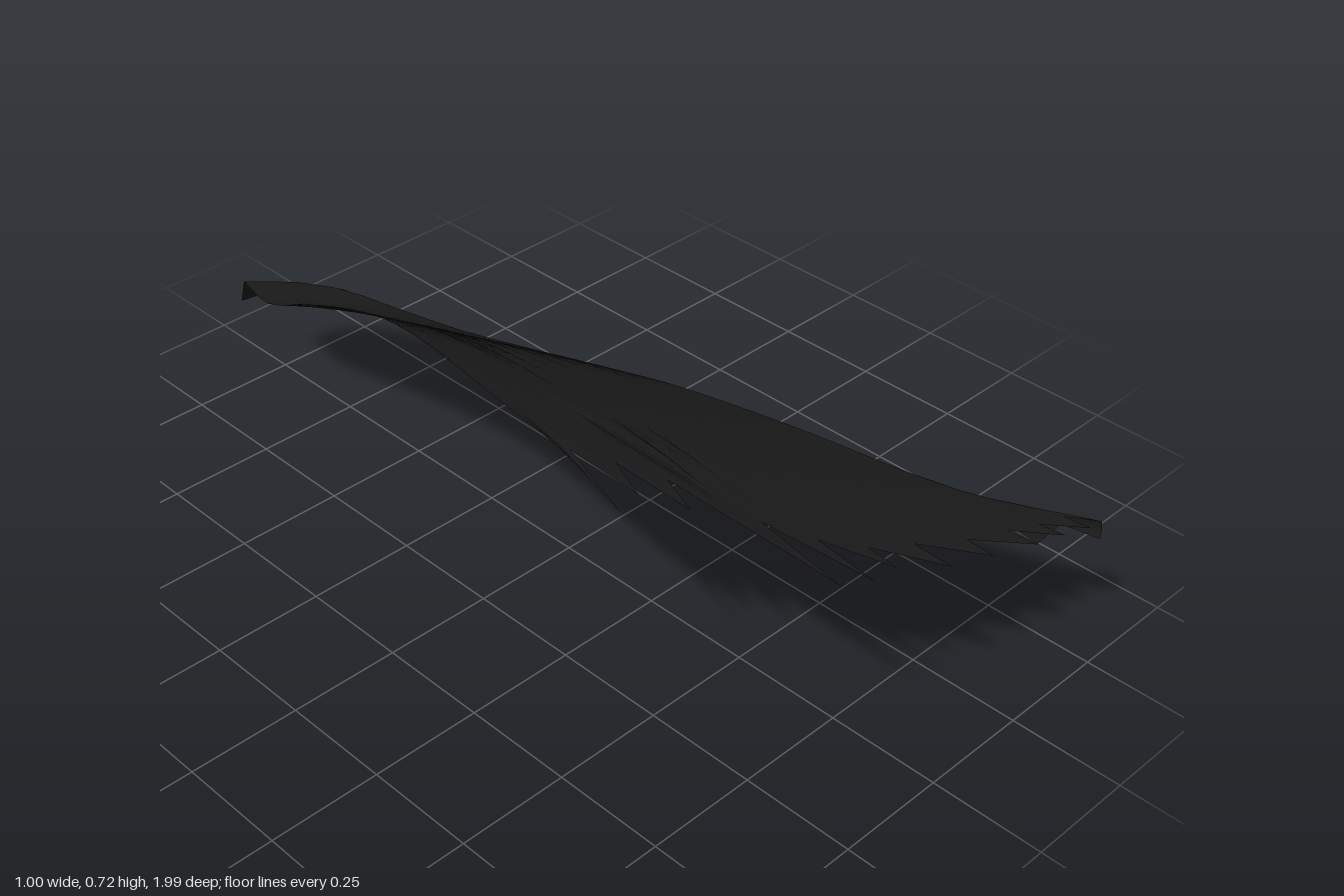
import * as THREE from 'three';

const cloth = new THREE.MeshStandardMaterial({ color: 0x1e1e1e, side: THREE.DoubleSide });
cloth.name = 'black cloth';

// Sample a smooth curve through points sorted by z; beyond the ends it continues straight.
function along(points, z) {
  const n = points.length;
  let i = 0;
  while (i < n - 2 && z > points[i + 1][0]) i++;
  const slope = (k, c) => {
    const a = points[Math.max(k - 1, 0)], b = points[Math.min(k + 1, n - 1)];
    return (b[c] - a[c]) / (b[0] - a[0]);
  };
  const p = points[i], q = points[i + 1], h = q[0] - p[0], t = (z - p[0]) / h;
  return [1, 2].map(c => {
    if (t > 1) return q[c] + (z - q[0]) * slope(i + 1, c);
    if (t < 0) return p[c] + (z - p[0]) * slope(i, c);
    const t2 = t * t, t3 = t2 * t;
    return (2 * t3 - 3 * t2 + 1) * p[c] + (t3 - 2 * t2 + t) * h * slope(i, c)
      + (3 * t2 - 2 * t3) * q[c] + (t3 - t2) * h * slope(i + 1, c);
  });
}

// Grid surface whose front is the side from which v x u points outward.
function gridMesh(name, columns, rows, pointAt) {
  const pos = [], index = [];
  for (let i = 0; i < columns; i++)
    for (let j = 0; j <= rows; j++) pos.push(...pointAt(i, j / rows));
  for (let i = 0; i < columns - 1; i++)
    for (let j = 0; j < rows; j++) {
      const a = i * (rows + 1) + j, b = a + rows + 1;
      index.push(a, a + 1, b, b, a + 1, b + 1);
    }
  const geo = new THREE.BufferGeometry();
  geo.setAttribute('position', new THREE.Float32BufferAttribute(pos, 3));
  geo.setIndex(index);
  geo.computeVertexNormals();
  const mesh = new THREE.Mesh(geo, cloth);
  mesh.name = name;
  return mesh;
}

// Straight inner edge: [z, x, y]
const innerEdge = [
  [-0.97, -0.117, 0.3], [-0.84, -0.148, 0.312], [-0.62, -0.2, 0.43], [-0.4, -0.252, 0.54],
  [-0.2, -0.299, 0.62], [0, -0.346, 0.662], [0.25, -0.405, 0.695], [0.45, -0.453, 0.72],
  [0.65, -0.5, 0.713], [0.98, -0.578, 0.705],
];
// Fold where the sheet turns down into the skirt: [z, x, y]
const fold = [
  [-0.97, 0.03, 0.237], [-0.9, 0.112, 0.213], [-0.79, 0.182, 0.181], [-0.62, 0.237, 0.172],
  [-0.43, 0.274, 0.195], [-0.2, 0.298, 0.241], [0, 0.324, 0.274], [0.3, 0.358, 0.303],
  [0.7, 0.414, 0.319], [0.98, 0.495, 0.352],
];
// Outline of the hem seen from above: [z, x, y]
const hem = [
  [-0.47, 0.311, 0], [-0.2, 0.335, 0], [0, 0.358, 0], [0.2, 0.38, 0],
  [0.45, 0.41, 0], [0.75, 0.452, 0], [0.98, 0.5, 0],
];

// Ragged front: tips and notches alternating, [x, z]
const frontEdge = [
  [-0.5, 0.65], [-0.43, 0.45], [-0.41, 0.6], [-0.365, 0.5], [-0.34, 0.66], [-0.295, 0.56],
  [-0.26, 0.94], [-0.22, 0.72], [-0.18, 0.95], [-0.155, 0.8], [-0.09, 0.93], [-0.075, 0.85],
  [0.02, 0.97], [0.035, 0.87], [0.14, 0.975], [0.16, 0.9], [0.27, 0.985], [0.28, 0.91],
  [0.36, 0.985], [0.37, 0.92], [0.44, 0.99], [0.455, 0.92], [0.495, 0.98],
];

function upperSheet() {
  return gridMesh('upperSheet', frontEdge.length, 36, (i, v) => {
    const [ex, ez] = frontEdge[i];
    const a = along(innerEdge, ez)[0], b = along(fold, ez)[0];
    const u = THREE.MathUtils.clamp((ex - a) / (b - a), 0, 1);
    const z = THREE.MathUtils.lerp(-0.97, ez, v);
    const p = along(innerEdge, z), q = along(fold, z);
    // The front tips droop slightly in the middle
    const sag = 0.012 * Math.sin(Math.PI * u) * THREE.MathUtils.smoothstep(z, 0.65, 0.95);
    return [p[0] + (q[0] - p[0]) * u, p[1] + (q[1] - p[1]) * u - sag, z];
  });
}

function skirt() {
  // Stations pair a hem point with a point on the fold, starting with the back lip
  const stations = [
    { low: [-0.108, 0.23, -1], high: [-0.117, 0.3, -0.97] },
    { low: [0, 0.225, -0.99], high: [-0.04, 0.267, -0.97] },
    { low: [0.06, 0.215, -0.96], high: [0.03, 0.237, -0.97] },
  ];
  const add = (x, y, z, foldZ = z) => {
    const f = along(fold, foldZ);
    stations.push({ low: [x, y, z], high: [f[0], f[1], foldZ] });
  };
  add(0.12, 0.196, -0.92, -0.9);
  add(0.2, 0.152, -0.82, -0.79);
  add(0.245, 0.117, -0.74, -0.7);
  add(0.275, 0.078, -0.65, -0.62);
  add(0.297, 0.039, -0.56, -0.53);

  // Ragged hem: tips [z, y] with a notch before each following tip
  const tips = [
    [-0.47, 0], [-0.32, 0.025], [-0.2, 0.04], [-0.05, 0.055], [0.04, 0.115], [0.2, 0.125],
    [0.35, 0.15], [0.53, 0.17], [0.7, 0.2], [0.86, 0.24], [0.98, 0.305],
  ];
  tips.forEach(([z, y], i) => {
    add(along(hem, z)[0], y, z);
    if (i === tips.length - 1) return;
    const [nz, ny] = tips[i + 1];
    const vz = z + (nz - z) * 0.35;
    add(along(hem, vz)[0] - 0.003, Math.min(Math.max(y, ny) + 0.03, 0.31), vz);
  });

  return gridMesh('skirt', stations.length, 6, (i, v) => {
    const { low, high } = stations[i];
    const bow = i > 3 ? 0.07 * (high[1] - low[1]) * Math.sin(Math.PI * v) : 0;
    return low.map((c, k) => c + (high[k] - c) * v + (k === 0 ? bow : 0));
  });
}

export function createModel() {
  const group = new THREE.Group();
  group.name = 'raggedCape';
  group.add(upperSheet(), skirt());
  return group;
}
